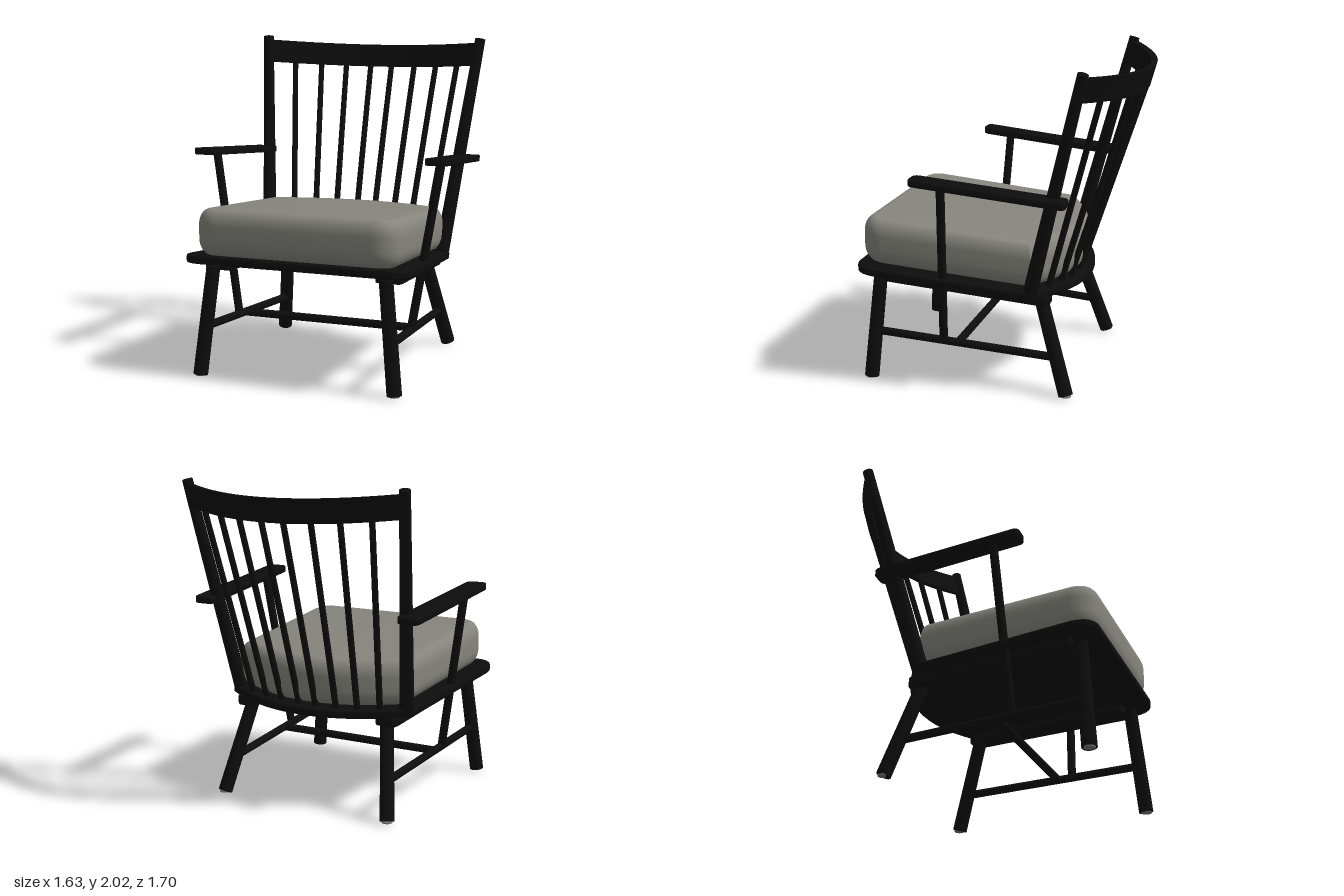
import * as THREE from 'three';
import { toCreasedNormals } from 'three/addons/utils/BufferGeometryUtils.js';

const wood = new THREE.MeshStandardMaterial({ color: 0x0d0d0d });
wood.name = 'black wood';
const fabric = new THREE.MeshStandardMaterial({ color: 0x85857d });
fabric.name = 'grey fabric';
const felt = new THREE.MeshStandardMaterial({ color: 0x777770 });
felt.name = 'grey felt';

const SLOPE = 0.0865; // seat rises towards the front

function add(group, name, geometry, material = wood) {
  const mesh = new THREE.Mesh(geometry, material);
  mesh.name = name;
  group.add(mesh);
  return mesh;
}

// Round bar between two points, r0 at the start and r1 at the end
function rod(group, name, a, b, r0, r1 = r0, material = wood) {
  const from = new THREE.Vector3(...a), to = new THREE.Vector3(...b);
  const dir = to.clone().sub(from);
  const mesh = add(group, name, new THREE.CylinderGeometry(r1, r0, dir.length(), 20), material);
  mesh.position.copy(from).lerp(to, 0.5);
  mesh.quaternion.setFromUnitVectors(new THREE.Vector3(0, 1, 0), dir.normalize());
  return mesh;
}

// Horizontal board from a plan outline (shape y = -z), sheared to y = base + slope * z
function board(shape, base, height, slope, bevel, bevelHeight, bevelSegments) {
  const geo = new THREE.ExtrudeGeometry(shape, {
    depth: height - 2 * bevelHeight, curveSegments: 24,
    bevelSize: bevel, bevelThickness: bevelHeight, bevelSegments,
  });
  geo.rotateX(-Math.PI / 2);
  const p = geo.attributes.position;
  for (let i = 0; i < p.count; i++) {
    p.setY(i, p.getY(i) + base + bevelHeight + slope * p.getZ(i));
  }
  return toCreasedNormals(geo, 0.6);
}

// Seat plan: rounded front corners, tapering sides and a bowed back
function seatPlan(xFront, xBack, zFront, zCorner, zBack, r) {
  const s = new THREE.Shape();
  s.moveTo(-xBack, -zCorner);
  s.lineTo(-xFront, -(zFront - r));
  s.quadraticCurveTo(-xFront, -zFront, -xFront + r, -zFront);
  s.lineTo(xFront - r, -zFront);
  s.quadraticCurveTo(xFront, -zFront, xFront, -(zFront - r));
  s.lineTo(xBack, -zCorner);
  s.quadraticCurveTo(0, -(2 * zBack - zCorner), -xBack, -zCorner);
  return s;
}

// Tapered strip plan with rounded ends
function stripPlan(side, front, back, r) {
  const pts = [[front.out, front.z], [front.in, front.z], [back.in, back.z], [back.out, back.z]]
    .map(([x, z]) => new THREE.Vector2(side * x, -z));
  const s = new THREE.Shape();
  pts.forEach((p, i) => {
    const prev = pts[(i + 3) % 4], next = pts[(i + 1) % 4];
    const a = p.clone().add(prev.clone().sub(p).setLength(r));
    const b = p.clone().add(next.clone().sub(p).setLength(r));
    if (i === 0) s.moveTo(a.x, a.y); else s.lineTo(a.x, a.y);
    s.quadraticCurveTo(p.x, p.y, b.x, b.y);
  });
  s.closePath();
  return s;
}

// Bowed, leaning top rail
function topRail() {
  const half = 0.735, bow = 0.25;
  const geo = new THREE.BoxGeometry(2 * half, 0.145, 0.04, 40, 1, 1);
  const p = geo.attributes.position;
  for (let i = 0; i < p.count; i++) {
    const x = p.getX(i), y = p.getY(i), z = p.getZ(i);
    const t = (x / half) ** 2;
    const stretch = Math.hypot(1, 2 * bow * x / half ** 2);
    p.setY(i, 1.87 + 0.035 * t + y);
    p.setZ(i, -0.815 + bow * t - 0.28 * y + z * stretch);
  }
  return toCreasedNormals(geo, 0.6);
}

export function createModel() {
  const chair = new THREE.Group();
  chair.name = 'armchair';

  // Seat board and cushion
  add(chair, 'seat', board(seatPlan(0.7, 0.635, 0.835, -0.26, -0.475, 0.13), 0.629, 0.05, SLOPE, 0.012, 0.012, 3));
  add(chair, 'cushion', board(seatPlan(0.568, 0.535, 0.762, -0.21, -0.382, 0.08), 0.684, 0.283, 0.079, 0.07, 0.1, 8), fabric);

  // Back: rail and fanned spindles
  add(chair, 'topRail', topRail());
  for (const side of [-1, 1]) {
    for (const x of [0.075, 0.245, 0.41, 0.575]) {
      const xb = 0.79 * x;
      rod(chair, 'spindle',
        [side * xb, 0.62, -0.41 + 0.16 * (xb / 0.6) ** 2],
        [side * x, 1.84, -0.807 + 0.25 * (x / 0.735) ** 2], 0.02, 0.018);
    }
  }

  for (const side of [-1, 1]) {
    rod(chair, 'backPost', [side * 0.6, 0.63, -0.245], [side * 0.745, 2, -0.587], 0.045, 0.033);

    // Arm with its support
    add(chair, 'armrest', board(stripPlan(side,
      { out: 0.81, in: 0.685, z: 0.435 }, { out: 0.78, in: 0.65, z: -0.49 }, 0.035),
    1.263, 0.042, 0.091, 0.006, 0.006, 2));
    rod(chair, 'armPost', [side * 0.575, 0.29, 0.31], [side * 0.737, 1.3, 0.26], 0.026);

    // Batten under the seat
    add(chair, 'batten', board(stripPlan(side,
      { out: 0.62, in: 0.47, z: 0.68 }, { out: 0.565, in: 0.435, z: -0.34 }, 0.03),
    0.58, 0.06, SLOPE, 0.008, 0.008, 2));

    // Splayed legs with felt glides
    const legs = [
      ['frontLeg', [0.62, 0.005, 0.775], [0.548, 0.67, 0.722]],
      ['backLeg', [0.588, 0.005, -0.47], [0.48, 0.6, -0.278]],
    ];
    for (const [name, a, b] of legs) {
      const foot = [side * a[0], a[1], a[2]];
      rod(chair, name, foot, [side * b[0], b[1], b[2]], 0.045, 0.042);
      rod(chair, 'glide', [foot[0], 0, foot[2]], [foot[0], 0.008, foot[2]], 0.034, 0.034, felt);
    }
    rod(chair, 'sideStretcher', [side * 0.588, 0.3, 0.74], [side * 0.545, 0.228, -0.38], 0.025);
  }
  rod(chair, 'crossStretcher', [-0.565, 0.265, 0.22], [0.565, 0.265, 0.22], 0.025);

  return chair;
}
